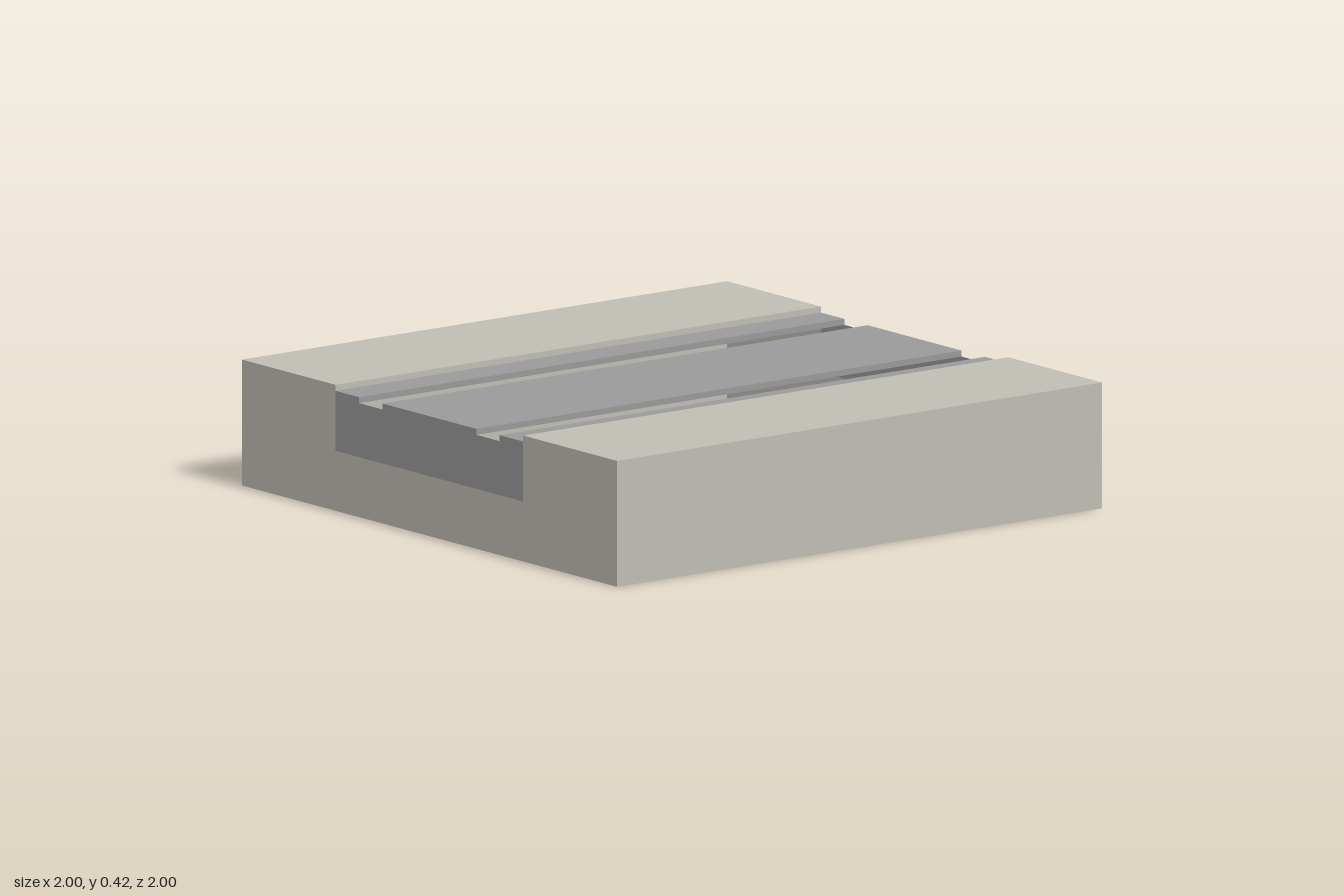
import * as THREE from 'three';

const stone = new THREE.MeshStandardMaterial({ color: 0xc0bcb4, side: THREE.DoubleSide });
stone.name = 'pale stone';
const road = new THREE.MeshStandardMaterial({ color: 0x999999, side: THREE.DoubleSide });
road.name = 'road grey';

const TOP = 0.42, ROAD = 0.4, SLOT = 0.38, BED = 0.2;

function add(group, name, geometry, material) {
  const mesh = new THREE.Mesh(geometry, material);
  mesh.name = name;
  group.add(mesh);
}

// Flat panel spanning the full width between two [z, y] section points
function panel(group, name, material, [z0, y0], [z1, y1]) {
  const dz = z1 - z0, dy = y1 - y0;
  const geometry = new THREE.PlaneGeometry(2, Math.hypot(dz, dy));
  geometry.rotateX(Math.atan2(dz, dy));
  geometry.translate(0, (y0 + y1) / 2, (z0 + z1) / 2);
  add(group, name, geometry, material);
}

// Flat end wall with the given [z, y] outline, on side s (+1 or -1 in x)
function endWall(group, name, material, points, s) {
  const shape = new THREE.Shape(points.map(([z, y]) => new THREE.Vector2(z, y)));
  const geometry = new THREE.ShapeGeometry(shape);
  geometry.rotateY(s * Math.PI / 2);
  geometry.translate(s, 0, 0);
  add(group, name, geometry, material);
}

export function createModel() {
  const model = new THREE.Group();
  model.name = 'roadTile';

  // Hollow outer shell: base, front and back, raised shoulders and kerbs
  panel(model, 'base', stone, [-1, 0], [1, 0]);
  panel(model, 'frontWall', stone, [1, 0], [1, TOP]);
  panel(model, 'frontShoulder', stone, [1, TOP], [0.5, TOP]);
  panel(model, 'frontKerb', stone, [0.5, ROAD], [0.5, TOP]);
  panel(model, 'backKerb', stone, [-0.5, ROAD], [-0.5, TOP]);
  panel(model, 'backShoulder', stone, [-0.5, TOP], [-1, TOP]);
  panel(model, 'backWall', stone, [-1, TOP], [-1, 0]);

  // Road surface split by two open slots with short lips
  panel(model, 'frontRoadEdge', road, [0.5, ROAD], [0.375, ROAD]);
  panel(model, 'roadCentre', road, [0.25, ROAD], [-0.25, ROAD]);
  panel(model, 'backRoadEdge', road, [-0.375, ROAD], [-0.5, ROAD]);
  for (const z of [0.25, -0.375]) panel(model, 'slotLip', road, [z, SLOT], [z, ROAD]);
  for (const z of [0.375, -0.25]) panel(model, 'slotLip', road, [z, ROAD], [z, SLOT]);

  // End walls: a stone cradle around the notched road section
  for (const s of [-1, 1]) {
    endWall(model, 'stoneEnd', stone, [
      [-1, 0], [1, 0], [1, TOP], [0.5, TOP], [0.5, BED], [-0.5, BED], [-0.5, TOP], [-1, TOP],
    ], s);
    endWall(model, 'roadEnd', road, [
      [-0.5, BED], [0.5, BED], [0.5, ROAD], [0.375, ROAD], [0.375, SLOT], [0.25, SLOT], [0.25, ROAD],
      [-0.25, ROAD], [-0.25, SLOT], [-0.375, SLOT], [-0.375, ROAD], [-0.5, ROAD],
    ], s);
  }
  return model;
}
